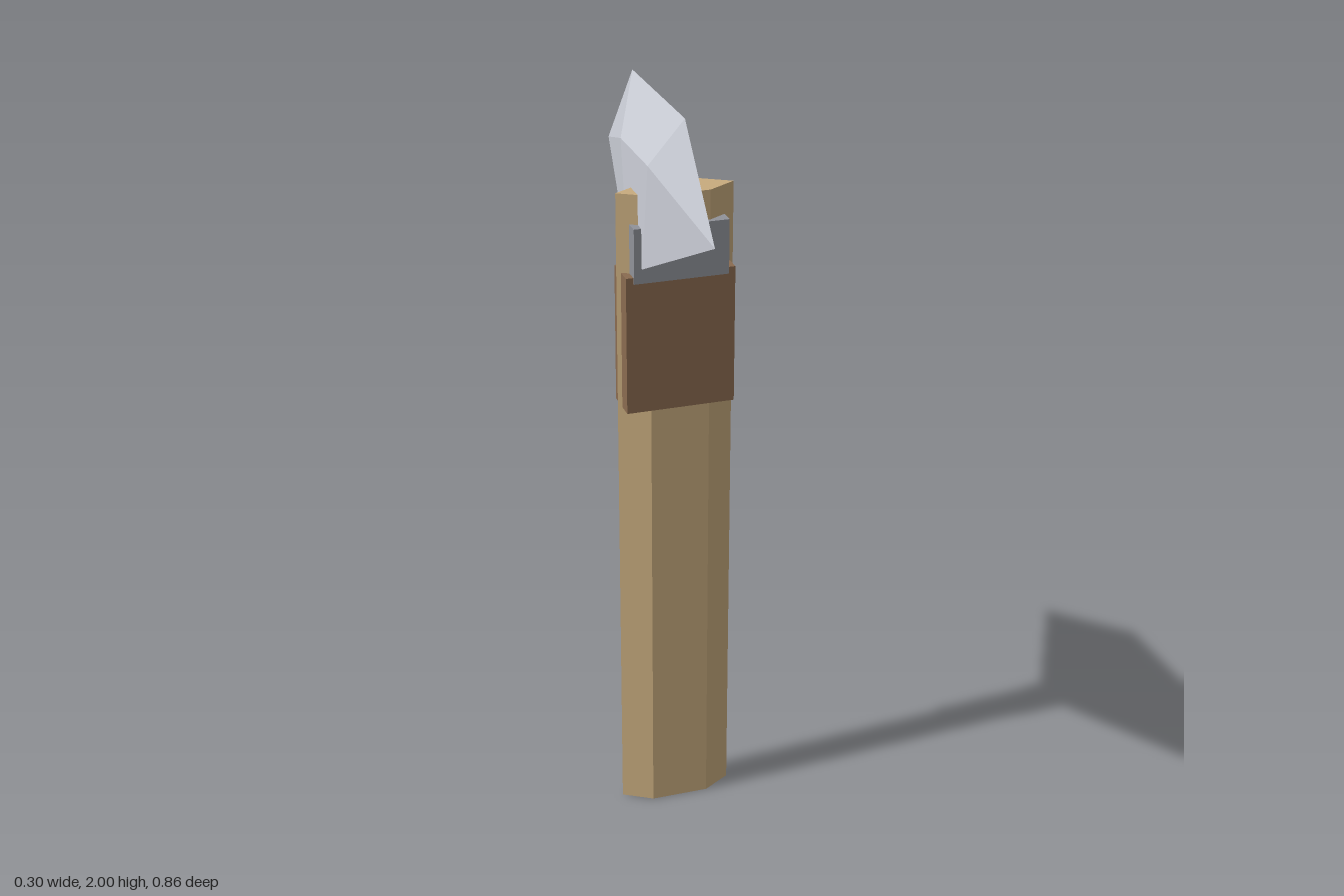
import * as THREE from 'three';
import { ConvexGeometry } from 'three/addons/geometries/ConvexGeometry.js';

const material = (name, color) => {
  const m = new THREE.MeshStandardMaterial({ color });
  m.name = name;
  return m;
};

export function createModel() {
  const group = new THREE.Group();
  group.name = 'handTool';
  const wood = material('wood', 0xc8ab7e);
  const leather = material('leather', 0x8a6b50);
  const iron = material('iron', 0x909299);
  const steel = material('steel', 0xcccfd8);

  const add = (name, geometry, mat) => {
    const mesh = new THREE.Mesh(geometry, mat);
    mesh.name = name;
    group.add(mesh);
  };
  // Box centred on the handle axis, spanning y0..y1
  const sleeve = (width, depth, y0, y1) =>
    new THREE.BoxGeometry(width, y1 - y0, depth).translate(0, (y0 + y1) / 2, 0);

  // Handle: flattened hexagonal prism
  const section = new THREE.Shape(
    [[0.152, 0], [0.077, 0.045], [-0.077, 0.045], [-0.152, 0], [-0.077, -0.045], [0.077, -0.045]]
      .map(([x, y]) => new THREE.Vector2(x, y)));
  const handle = new THREE.ExtrudeGeometry(section, { depth: 1.76, bevelEnabled: false });
  add('handle', handle.rotateX(-Math.PI / 2), wood);

  // Grip wrap and collar; the handle's sharp edges poke through both
  add('gripWrap', sleeve(0.284, 0.1, 1.19, 1.555), leather);
  add('collar', sleeve(0.246, 0.114, 1.54, 1.683), iron);

  // Blade: wide outer face at x = -0.043, narrow inner face at x = -0.104
  const corners = [];
  for (const [x, y, z] of [[-0.043, 2, 0.21], [-0.043, 1.76, 0.432], [-0.104, 1.86, 0.112], [-0.104, 1.58, 0.063]]) {
    for (const side of [1, -1]) corners.push(new THREE.Vector3(x, y, z * side));
  }
  add('blade', new ConvexGeometry(corners), steel);

  return group;
}
